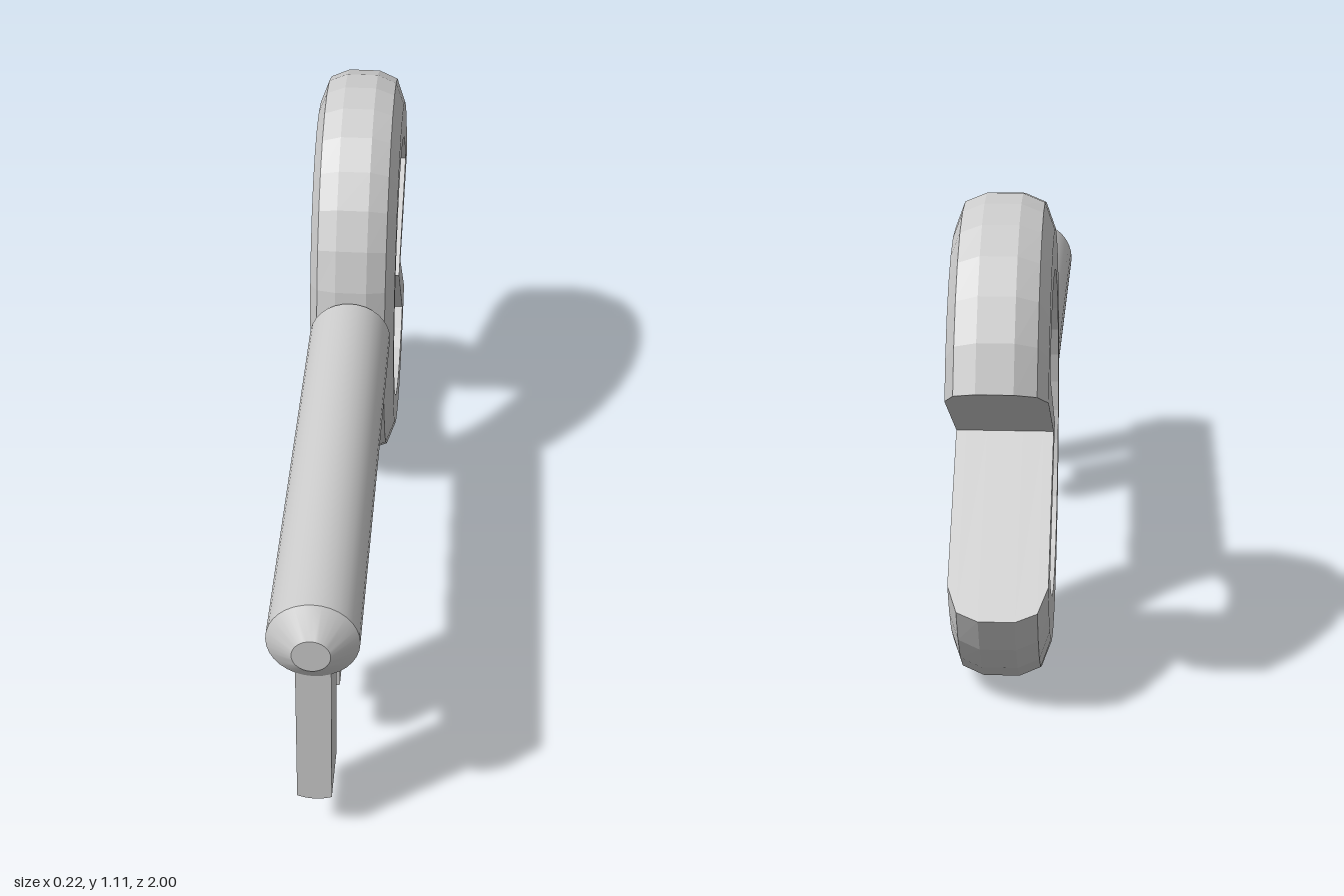
import * as THREE from 'three';
import { toCreasedNormals } from 'three/addons/utils/BufferGeometryUtils.js';

// Ellipses of the bow in the z-y plane, from the outer rim to the hole
const ring = (cz, cy, rz, ry, apex, low, high) => ({ cz, cy, rz, ry, apex, low, high });
const rim = (d) => ring(-0.62, 0.557, 0.413 - d, 0.557 - d, [-0.625, 0.572], [-0.96, 0.252], [-1.0, 0.77]);
const hole = ring(-0.605, 0.56, 0.288, 0.378, [-0.552, 0.57], [-0.81, 0.295], [-0.847, 0.767]);

// Angle at which the ray from the notch apex towards a point meets the ellipse
function meetAngle(e, to) {
  const az = (e.apex[0] - e.cz) / e.rz, ay = (e.apex[1] - e.cy) / e.ry;
  const dz = (to[0] - e.apex[0]) / e.rz, dy = (to[1] - e.apex[1]) / e.ry;
  const a = dz * dz + dy * dy, b = az * dz + ay * dy, c = az * az + ay * ay - 1;
  const s = (-b + Math.sqrt(b * b - a * c)) / a;
  return Math.atan2(ay + s * dy, az + s * dz);
}

// Bow: chamfered section swept along the open ellipse, closed by a V-shaped notch
function bowGeometry() {
  const half = [[0.11, hole], [0.11, rim(0.08)], [0.088, rim(0.02)], [0.04, rim(0)]];
  const section = [...half.map(([x, e]) => [-x, e]), ...half.slice().reverse()];
  const steps = 26, n = section.length, rows = [];
  for (let i = 0; i <= steps; i++) {
    rows.push(section.map(([x, e]) => {
      const t = THREE.MathUtils.lerp(meetAngle(e, e.low), meetAngle(e, e.high), i / steps);
      return [x, e.cy + e.ry * Math.sin(t), e.cz + e.rz * Math.cos(t)];
    }));
  }
  rows.push(section.map(([x, e]) => [x, e.apex[1], e.apex[0]]));
  const pos = [];
  rows.forEach((row, i) => {
    const next = rows[(i + 1) % rows.length];
    for (let j = 0; j < n; j++) {
      const k = (j + 1) % n;
      pos.push(...row[j], ...row[k], ...next[k], ...row[j], ...next[k], ...next[j]);
    }
  });
  const g = new THREE.BufferGeometry();
  g.setAttribute('position', new THREE.Float32BufferAttribute(pos, 3));
  g.computeVertexNormals();
  return g;
}

// Tooth: thin slab with a slightly rounded lower edge
function toothGeometry(zBack, zFront, bottom) {
  const w = 0.04, s = new THREE.Shape();
  s.moveTo(-w, 0.56);
  s.lineTo(-w, bottom + 0.008);
  s.quadraticCurveTo(0, bottom - 0.008, w, bottom + 0.008);
  s.lineTo(w, 0.56);
  s.closePath();
  const g = new THREE.ExtrudeGeometry(s, { depth: zFront - zBack, bevelEnabled: false, curveSegments: 4 });
  return g.translate(0, 0, zBack);
}

export function createModel() {
  const group = new THREE.Group();
  const smooth = new THREE.MeshStandardMaterial({ color: 0xcccccc });
  const flat = new THREE.MeshStandardMaterial({ color: 0xcccccc, flatShading: true });
  const add = (name, geometry, material) => {
    const mesh = new THREE.Mesh(geometry, material);
    mesh.name = name;
    group.add(mesh);
  };

  // Round shaft with a chamfered tip
  const profile = [[0, -0.212], [0.104, -0.212], [0.104, 0.95], [0.043, 1], [0, 1]];
  const shaft = new THREE.LatheGeometry(profile.map((p) => new THREE.Vector2(...p)), 32);
  shaft.rotateX(Math.PI / 2).translate(0, 0.595, 0);
  add('shaft', toCreasedNormals(shaft, 0.5), smooth);

  add('bow', bowGeometry(), flat);

  // Front tooth and the stepped rear tooth
  add('frontTooth', toothGeometry(0.8, 0.95, 0.106), flat);
  add('rearToothShort', toothGeometry(0.58, 0.695, 0.218), flat);
  add('rearToothLong', toothGeometry(0.475, 0.58, 0.17), flat);
  return group;
}
